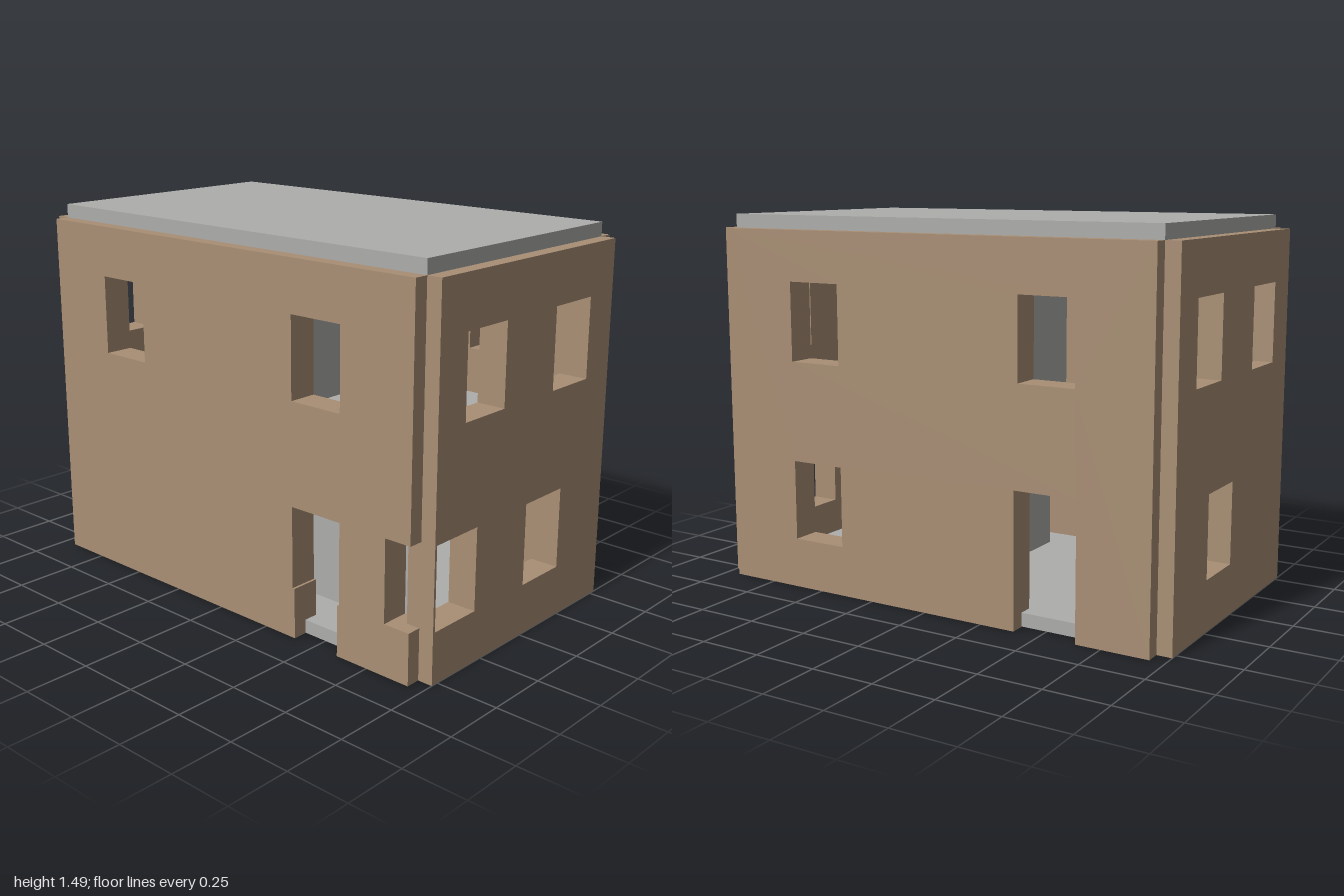
import * as THREE from 'three';

const H = 1.435, T = 0.115;      // wall height and thickness
const X = 1.0, Z = 0.588;        // outer faces of the walls
const INSET = 0.94, SIDE = 0.53; // half lengths of the long and short walls

// Wall outline from points, with rectangular openings [u0, y0, u1, y1]
function wallGeometry(points, openings, depth) {
  const shape = new THREE.Shape(points.map(([u, y]) => new THREE.Vector2(u, y)));
  for (const [u0, y0, u1, y1] of openings) {
    shape.holes.push(new THREE.Path([[u0, y0], [u0, y1], [u1, y1], [u1, y0]].map(([u, y]) => new THREE.Vector2(u, y))));
  }
  return new THREE.ExtrudeGeometry(shape, { depth, bevelEnabled: false });
}

export function createModel() {
  const group = new THREE.Group();
  const brick = new THREE.MeshStandardMaterial({ color: 0xa98f75 });
  brick.name = 'brown wall';
  const concrete = new THREE.MeshStandardMaterial({ color: 0xadadab });
  concrete.name = 'grey concrete';

  const add = (name, geometry, material, x = 0, y = 0, z = 0) => {
    const mesh = new THREE.Mesh(geometry, material);
    mesh.name = name;
    mesh.position.set(x, y, z);
    group.add(mesh);
    return mesh;
  };
  // Box given by its lower and upper corners
  const block = (name, [x0, y0, z0], [x1, y1, z1]) =>
    add(name, new THREE.BoxGeometry(x1 - x0, y1 - y0, z1 - z0), concrete, (x0 + x1) / 2, (y0 + y1) / 2, (z0 + z1) / 2);

  const upperWindows = [[-0.64, 0.92, -0.41, 1.235], [0.39, 0.92, 0.62, 1.235]];

  // Front wall: doorway with wider upper part, and a corner window cut into the edge
  add('frontWall', wallGeometry([
    [-INSET, 0], [0.4, 0], [0.4, 0.2], [0.39, 0.2], [0.39, 0.52], [0.62, 0.52], [0.62, 0.2], [0.61, 0.2], [0.61, 0],
    [INSET, 0], [INSET, 0.2], [0.83, 0.2], [0.83, 0.52], [INSET, 0.52], [INSET, H], [-INSET, H],
  ], upperWindows, T), brick, 0, 0, Z - T);

  // Back wall: doorway and one lower window
  add('backWall', wallGeometry([
    [-INSET, 0], [-0.65, 0], [-0.65, 0.53], [-0.395, 0.53], [-0.395, 0], [INSET, 0], [INSET, H], [-INSET, H],
  ], [...upperWindows, [0.39, 0.2, 0.62, 0.52]], T), brick, 0, 0, -Z);

  // Side walls, drawn with u = -z
  const sideOutline = [[-SIDE, 0], [SIDE, 0], [SIDE, H], [-SIDE, H]];
  const sideWindows = [[-0.38, 0.92, -0.155, 1.235], [0.15, 0.92, 0.378, 1.235], [0.01, 0.2, 0.238, 0.52]];
  const cornerWindow = [-0.52, 0.2, -0.292, 0.52];
  add('leftWall', wallGeometry(sideOutline, [...sideWindows, cornerWindow], T).rotateY(Math.PI / 2), brick, X - T);
  add('rightWall', wallGeometry(sideOutline, sideWindows, T).rotateY(Math.PI / 2), brick, -X);

  // Slabs
  block('groundSlab', [-INSET, 0.002, -SIDE], [INSET, 0.055, SIDE]);
  block('upperFloor', [-0.89, 0.68, -0.478], [0.89, 0.735, 0.478]);
  block('roofSlab', [-INSET, H, -SIDE], [INSET, 1.49, SIDE]);

  // Inner partitions
  block('upperPartition', [-0.03, 0.73, -0.478], [0.03, H, 0.478]);
  block('lowerPartition', [-0.03, 0.05, -0.478], [0.03, 0.69, 0.335]);
  add('hallPartition', wallGeometry([
    [0, 0.05], [0.4, 0.05], [0.4, 0.475], [0.605, 0.475], [0.605, 0.05], [0.8, 0.05], [0.8, 0.69], [0, 0.69],
  ], [], 0.055), concrete, 0, 0, 0.28);

  return group;
}
